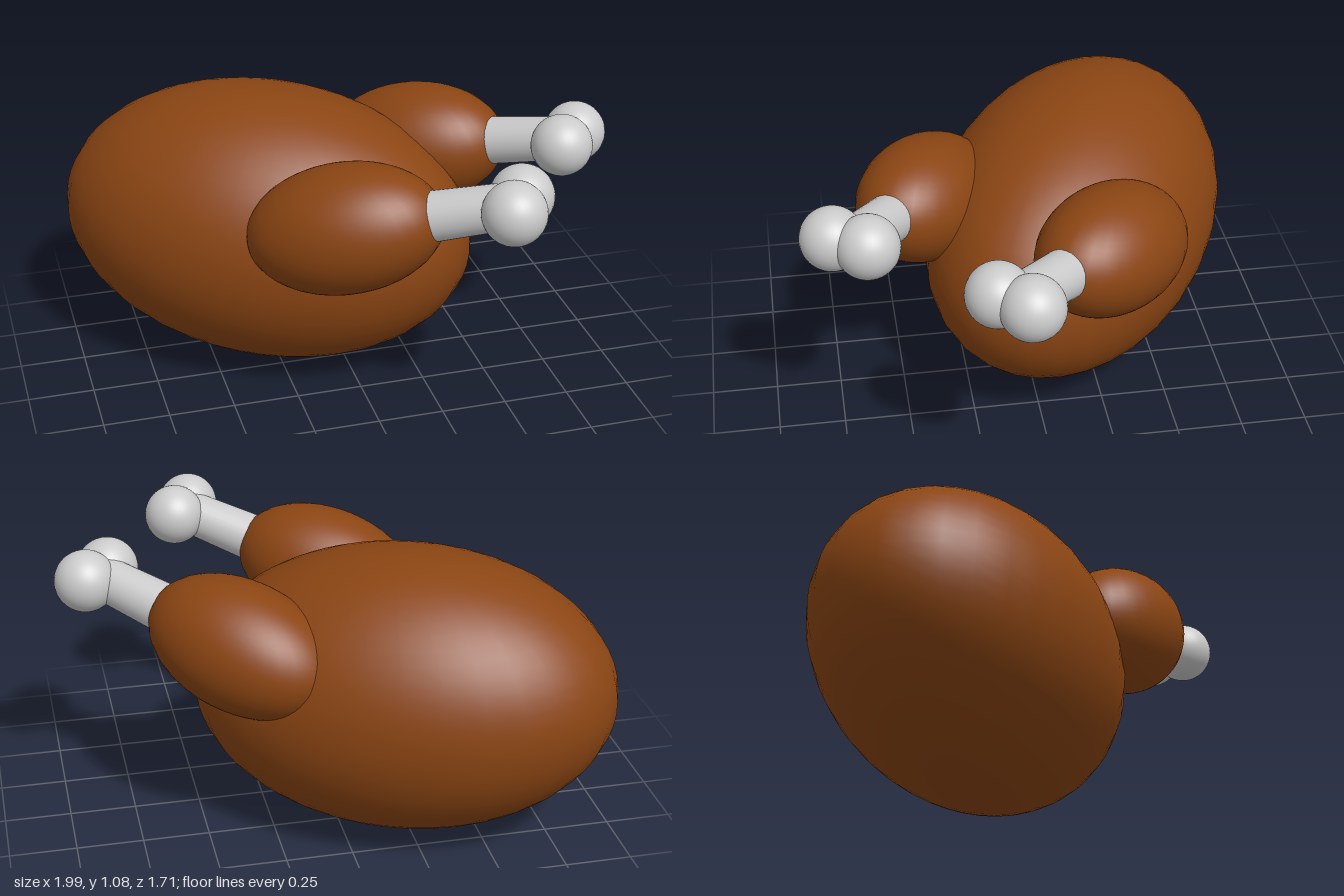
import * as THREE from 'three';

const brown = new THREE.MeshStandardMaterial({ color: 0x8b4513 });
const grey = new THREE.MeshStandardMaterial({ color: 0xcccccc });
const rad = THREE.MathUtils.degToRad;

// Ellipsoid whose long axis is local x
function ellipsoid(name, material, rx, ry, rz) {
  const geometry = new THREE.SphereGeometry(1, 32, 32).scale(rx, ry, rz);
  const mesh = new THREE.Mesh(geometry, material);
  mesh.name = name;
  return mesh;
}

// Points local +x towards the front left (heading) and upwards (tilt)
function aim(object, heading, tilt) {
  object.rotation.set(0, -rad(heading), rad(tilt));
}

// Drumstick: meat, tapered bone and two knuckles, laid out along local x
function drumstick(name, [x, y, z], heading, tilt) {
  const leg = new THREE.Group();
  leg.name = name;
  leg.add(ellipsoid('legMeat', brown, 0.375, 0.24, 0.24));

  const shaft = new THREE.CylinderGeometry(0.083, 0.096, 0.44, 32);
  shaft.rotateZ(-Math.PI / 2).translate(0.42, 0, 0);
  const bone = new THREE.Mesh(shaft, grey);
  bone.name = 'bone';
  leg.add(bone);

  for (const side of [-1, 1]) {
    const knuckle = ellipsoid('boneKnuckle', grey, 0.116, 0.116, 0.116);
    knuckle.position.set(0.65, 0, side * 0.069);
    leg.add(knuckle);
  }
  leg.position.set(x, y, z);
  aim(leg, heading, tilt);
  return leg;
}

export function createModel() {
  const model = new THREE.Group();
  model.name = 'roastBird';

  // Plump body
  const body = ellipsoid('body', brown, 0.81, 0.537, 0.54);
  body.position.set(-0.25, 0.54, -0.223);
  aim(body, 30, -4);
  model.add(body);

  // Legs on either side of the body
  model.add(drumstick('rightLeg', [-0.1, 0.767, 0.373], 31, 16));
  model.add(drumstick('leftLeg', [0.36, 0.775, -0.25], 42, 13));
  return model;
}
